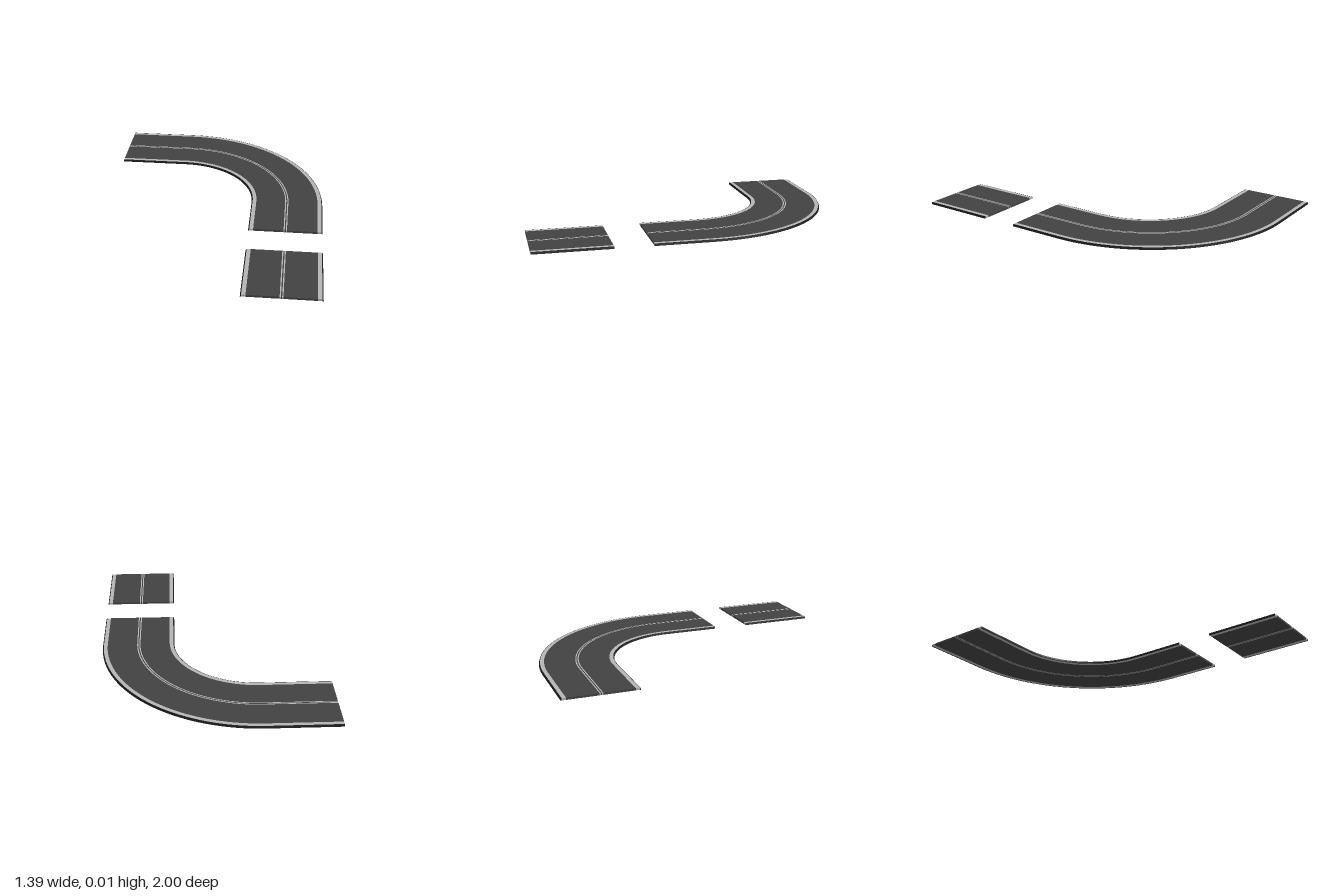
import * as THREE from 'three';

const TOP = 0.013, LANE_X = 0.4625, LANE_Z = -0.7725;

const material = (color) => new THREE.MeshStandardMaterial({ color, flatShading: true, side: THREE.DoubleSide });

// Sweeps a counter-clockwise [offset, height] section along stations { x, z, a } (a = heading from +x to +z).
function sweep(stations, section) {
  const n = section.length, positions = [], index = [];
  for (const { x, z, a } of stations)
    for (const [o, y] of section)
      positions.push(x + Math.sin(a) * o, y, z - Math.cos(a) * o);
  const last = stations.length - 1;
  for (let i = 0; i < last; i++)
    for (let k = 0; k < n; k++) {
      const p = i * n + k, q = i * n + (k + 1) % n;
      index.push(p, q, q + n, p, q + n, p + n);
    }
  // end caps
  for (let k = 1; k < n - 1; k++)
    index.push(0, k + 1, k, last * n, last * n + k, last * n + k + 1);
  const geometry = new THREE.BufferGeometry();
  geometry.setAttribute('position', new THREE.Float32BufferAttribute(positions, 3));
  geometry.setIndex(index);
  const flat = geometry.toNonIndexed();
  flat.computeVertexNormals();
  return flat;
}

const slab = (a, b) => [[a, 0], [b, 0], [b, TOP], [a, TOP]];

// Bands across the road, from the inner to the outer side
const bands = [
  ['innerEdge', 'edge', [[-0.2285, 0], [-0.2215, 0], [-0.2215, TOP], [-0.2245, TOP]]],
  ['innerBorderLine', 'line', slab(-0.2215, -0.1975)],
  ['innerLane', 'asphalt', slab(-0.1975, -0.011)],
  ['innerCentreLine', 'line', slab(-0.011, -0.004)],
  ['centreGap', 'asphalt', slab(-0.004, 0.003)],
  ['outerCentreLine', 'line', slab(0.003, 0.01)],
  ['outerLane', 'asphalt', slab(0.01, 0.1975)],
  ['outerBorderLine', 'line', slab(0.1975, 0.2215)],
  ['outerEdge', 'edge', [[0.2215, 0], [0.2285, 0], [0.2245, TOP], [0.2215, TOP]]],
];

export function createModel() {
  const model = new THREE.Group();
  model.name = 'roadSections';
  const materials = { asphalt: material(0x424242), line: material(0xb4b4b4), edge: material(0x1e1e1e) };

  const addRoad = (name, stations) => {
    const road = new THREE.Group();
    road.name = name;
    for (const [part, kind, section] of bands) {
      const mesh = new THREE.Mesh(sweep(stations, section), materials[kind]);
      mesh.name = part;
      road.add(mesh);
    }
    model.add(road);
  };

  // Quarter bend with a straight run at both ends
  const radius = 0.73, steps = 40;
  const cx = LANE_X - radius, cz = LANE_Z + radius;
  const bend = [{ x: -0.7, z: LANE_Z, a: 0 }];
  for (let i = 0; i <= steps; i++) {
    const a = (i / steps) * Math.PI / 2;
    bend.push({ x: cx + Math.sin(a) * radius, z: cz - Math.cos(a) * radius, a });
  }
  bend.push({ x: LANE_X, z: 0.305, a: Math.PI / 2 });
  addRoad('curvedRoad', bend);

  // Separate straight piece
  addRoad('straightRoad', [0.535, 1].map((z) => ({ x: LANE_X, z, a: Math.PI / 2 })));

  return model;
}
